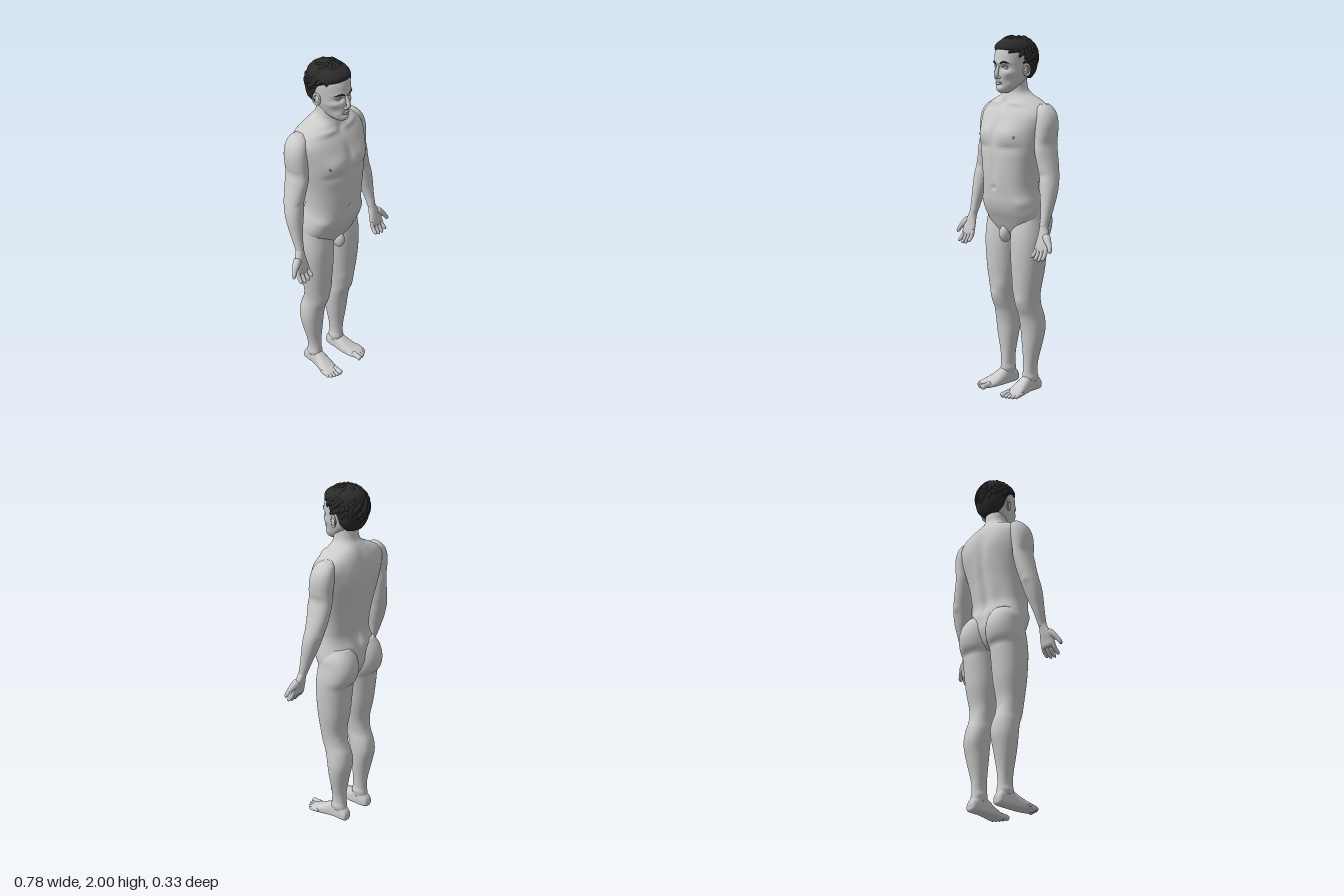
import * as THREE from 'three';
import { mergeVertices, mergeGeometries } from 'three/addons/utils/BufferGeometryUtils.js';

const skin = new THREE.MeshStandardMaterial({ color: 0xcccccc });
const dark = new THREE.MeshStandardMaterial({ color: 0x2b2b2b });
const areola = new THREE.MeshStandardMaterial({ color: 0x8a8a8a });

// Smooth interpolation of table rows
function sample(rows, t) {
  const n = rows.length - 1, i = Math.min(Math.floor(t * n), n - 1), f = t * n - i;
  const at = k => rows[Math.max(0, Math.min(n, k))];
  const [a, b, c, d] = [at(i - 1), at(i), at(i + 1), at(i + 2)];
  return b.map((_, k) => b[k] + 0.5 * f * (c[k] - a[k] + f * (2 * a[k] - 5 * b[k] + 4 * c[k] - d[k]
    + f * (3 * (b[k] - c[k]) + d[k] - a[k]))));
}

// Closed skin over rows of [y, xMin, xMax, zBack, zFront, zMid]
function loft(rows, { power = 2.15, sides = 48, steps = 5 } = {}) {
  rows = rows.map(r => r.length > 5 ? r : [...r, (r[3] + r[4]) / 2]);
  const count = (rows.length - 1) * steps, pos = [], idx = [];
  const bend = v => Math.sign(v) * Math.abs(v) ** (2 / power);
  for (let i = 0; i <= count; i++) {
    const [y, x0, x1, zb, zf, zm] = sample(rows, i / count);
    for (let j = 0; j < sides; j++) {
      const a = j / sides * Math.PI * 2, s = bend(Math.sin(a));
      pos.push((x0 + x1) / 2 + (x1 - x0) / 2 * bend(Math.cos(a)), y, zm + s * (s > 0 ? zf - zm : zm - zb));
      if (i === count) continue;
      const p = i * sides + j, q = i * sides + (j + 1) % sides;
      idx.push(p, p + sides, q, q, p + sides, q + sides);
    }
  }
  const last = count * sides, cap = (count + 1) * sides;
  for (const r of [rows[0], rows.at(-1)]) pos.push((r[1] + r[2]) / 2, r[0], r[5]);
  for (let j = 0; j < sides; j++) {
    const k = (j + 1) % sides;
    idx.push(cap, j, k, cap + 1, last + k, last + j);
  }
  const g = new THREE.BufferGeometry();
  g.setAttribute('position', new THREE.Float32BufferAttribute(pos, 3));
  g.setIndex(idx);
  g.computeVertexNormals();
  return g;
}

// Raise or sink soft spots: [x, y, z, radiusX, radiusY, amount], mirrored when x > 0
function sculpt(g, spots, mirrored = true) {
  const p = g.attributes.position, n = g.attributes.normal;
  const all = spots.flatMap(s => mirrored && s[0] > 0 ? [s, [-s[0], ...s.slice(1)]] : [s]);
  for (let i = 0; i < p.count; i++) {
    const [x, y, z] = [p.getX(i), p.getY(i), p.getZ(i)];
    let d = 0;
    for (const [sx, sy, sz, rx, ry, amt] of all)
      d += amt * Math.exp(-(((x - sx) / rx) ** 2) - ((y - sy) / ry) ** 2 - ((z - sz) / 0.07) ** 2);
    p.setXYZ(i, x + n.getX(i) * d, y + n.getY(i) * d, z + n.getZ(i) * d);
  }
  g.computeVertexNormals();
  return g;
}

// Tapered round-ended tube through points
function taper(points, radii, seg = 12, sides = 12) {
  const curve = new THREE.CatmullRomCurve3(points.map(p => new THREE.Vector3(...p)));
  let g = new THREE.TubeGeometry(curve, seg, 1, sides);
  const p = g.attributes.position, v = new THREE.Vector3();
  for (let i = 0; i <= seg; i++) {
    const t = i / seg, c = curve.getPointAt(t), e = Math.max(0, (Math.abs(t - 0.5) - 0.35) / 0.15);
    const r = sample(radii.map(k => [k]), t)[0] * Math.sqrt(Math.max(0.0001, 1 - e * e));
    for (let j = 0; j <= sides; j++) {
      const k = i * (sides + 1) + j;
      v.fromBufferAttribute(p, k).sub(c).multiplyScalar(r).add(c);
      p.setXYZ(k, v.x, v.y, v.z);
    }
  }
  g.deleteAttribute('uv');
  g.deleteAttribute('normal');
  g = mergeVertices(g, 1e-6);
  g.computeVertexNormals();
  return g;
}

const ball = (x, y, z, sx, sy, sz) => new THREE.SphereGeometry(1, 20, 14).scale(sx, sy, sz).translate(x, y, z);

function flip(g) {
  const a = g.index.array;
  for (let i = 0; i < a.length; i += 3) [a[i], a[i + 1]] = [a[i + 1], a[i]];
  g.computeVertexNormals();
  return g;
}

export function createModel() {
  const model = new THREE.Group();
  const add = (name, g, mat = skin) => {
    const m = new THREE.Mesh(g, mat);
    m.name = name;
    model.add(m);
  };
  const pair = (name, g, mat) => {
    add('left' + name, g, mat);
    add('right' + name, flip(g.clone().scale(-1, 1, 1)), mat);
  };
  const even = ([y, w, ...rest]) => [y, -w, w, ...rest];

  // Torso and neck
  const torso = loft([[0.9, 0.09, -0.08, 0.04, -0.02], [0.94, 0.15, -0.11, 0.065, -0.03],
    [1, 0.185, -0.13, 0.095, -0.03], [1.05, 0.19, -0.13, 0.12, -0.02], [1.1, 0.18, -0.125, 0.135, -0.01],
    [1.15, 0.172, -0.108, 0.14, 0], [1.2, 0.17, -0.105, 0.144, 0], [1.3, 0.18, -0.122, 0.146, 0],
    [1.4, 0.2, -0.142, 0.146, -0.01], [1.47, 0.214, -0.148, 0.14, -0.03], [1.53, 0.226, -0.148, 0.122, -0.04],
    [1.58, 0.228, -0.144, 0.1, -0.05], [1.62, 0.2, -0.135, 0.076, -0.055], [1.655, 0.14, -0.12, 0.058, -0.05],
    [1.68, 0.088, -0.105, 0.048, -0.04], [1.71, 0.067, -0.086, 0.042, -0.02], [1.76, 0.062, -0.078, 0.045, -0.015],
    [1.8, 0.06, -0.075, 0.045, -0.015]].map(even), { power: 2.3, sides: 96, steps: 6 });
  add('torso', sculpt(torso, [[0.09, 1.47, 0.13, 0.07, 0.05, 0.014], [0.1, 1.4, 0.13, 0.07, 0.016, -0.007],
    [0, 1.48, 0.13, 0.013, 0.07, -0.012], [0, 1.28, 0.145, 0.012, 0.09, -0.005], [0, 1.18, 0.145, 0.01, 0.012, -0.012],
    [0.05, 1.26, 0.14, 0.03, 0.08, 0.004], [0.15, 1.1, 0.07, 0.04, 0.03, 0.008], [0.09, 1.635, 0.06, 0.06, 0.012, 0.008],
    [0, 1.64, 0.06, 0.016, 0.02, -0.01], [0.1, 1.52, -0.13, 0.06, 0.08, 0.012], [0, 1.42, -0.14, 0.022, 0.17, -0.018],
    [0, 1.16, -0.11, 0.02, 0.1, -0.012], [0.055, 1.22, -0.11, 0.03, 0.1, 0.007]]));
  pair('Areola', ball(0.135, 1.462, 0.113, 0.009, 0.008, 0.012), areola);

  // Legs with buttocks
  const leg = loft([[0.06, 0.06, 0.128, -0.102, 0], [0.1, 0.06, 0.128, -0.094, -0.003], [0.15, 0.058, 0.13, -0.093, -0.006],
    [0.2, 0.053, 0.14, -0.097, -0.006], [0.3, 0.04, 0.163, -0.116, 0.002], [0.38, 0.034, 0.172, -0.13, 0.01],
    [0.45, 0.033, 0.168, -0.123, 0.025], [0.5, 0.036, 0.164, -0.106, 0.046], [0.55, 0.032, 0.168, -0.095, 0.055],
    [0.6, 0.026, 0.176, -0.092, 0.06], [0.7, 0.013, 0.192, -0.11, 0.07], [0.8, 0.006, 0.202, -0.12, 0.075],
    [0.88, 0.002, 0.206, -0.13, 0.075], [0.94, 0, 0.207, -0.158, 0.07], [1, 0.003, 0.204, -0.166, 0.06],
    [1.06, 0.01, 0.192, -0.15, 0.05], [1.11, 0.03, 0.16, -0.115, 0.03]], { sides: 56 });
  pair('Leg', sculpt(leg, [[0.1, 0.54, 0.055, 0.03, 0.03, 0.006], [0.06, 0.6, 0.05, 0.03, 0.04, 0.005],
    [0.1, 0.89, -0.13, 0.07, 0.014, -0.008], [0.2, 1, -0.05, 0.04, 0.05, -0.006], [0.06, 0.4, -0.12, 0.025, 0.06, 0.006],
    [0.1, 0.54, -0.09, 0.03, 0.03, -0.004], [0.06, 0.095, -0.05, 0.02, 0.015, 0.007], [0.13, 0.085, -0.05, 0.02, 0.015, 0.007]], false));
  // Plain rounded front of the pelvis
  add('pelvisFront', ball(0, 0.915, 0.055, 0.03, 0.05, 0.038));

  // Feet: rows run from heel to toes, then y and z trade places
  const foot = loft([[-0.117, 0.082, 0.112, 0.012, 0.04, 0.025], [-0.107, 0.066, 0.126, 0.002, 0.065, 0.025],
    [-0.07, 0.058, 0.13, 0, 0.1, 0.025], [-0.03, 0.058, 0.132, 0, 0.105, 0.025], [0, 0.056, 0.138, 0, 0.09, 0.02],
    [0.04, 0.056, 0.15, 0, 0.066, 0.02], [0.08, 0.06, 0.163, 0, 0.046, 0.018], [0.11, 0.068, 0.164, 0, 0.036, 0.016],
    [0.13, 0.078, 0.145, 0.004, 0.028, 0.016]], { power: 2.4 });
  const fp = foot.attributes.position;
  for (let i = 0; i < fp.count; i++) fp.setXYZ(i, fp.getX(i), fp.getZ(i), fp.getY(i));
  pair('Foot', flip(foot));
  [[0.086, 0.165, 0.017], [0.11, 0.16, 0.012], [0.128, 0.152, 0.011], [0.144, 0.142, 0.011], [0.157, 0.128, 0.01]]
    .forEach(([x, z, r], i) => pair('Toe' + (i + 1),
      taper([[x, 0.024, z - 0.07], [x, 0.022, z - 0.03], [x, r, z]], [r, r * 0.85, r])));

  // Arms
  const arm = loft([[0.98, 0.272, 0.314, 0.02, 0.065], [1, 0.268, 0.313, 0.012, 0.062], [1.05, 0.262, 0.316, -0.01, 0.052],
    [1.1, 0.25, 0.32, -0.03, 0.045], [1.15, 0.235, 0.323, -0.05, 0.04], [1.2, 0.222, 0.322, -0.066, 0.035],
    [1.25, 0.212, 0.313, -0.08, 0.03], [1.3, 0.2, 0.3, -0.092, 0.03], [1.4, 0.182, 0.274, -0.105, 0.032],
    [1.47, 0.175, 0.275, -0.108, 0.032], [1.53, 0.165, 0.277, -0.112, 0.028], [1.58, 0.16, 0.265, -0.11, 0.018],
    [1.615, 0.16, 0.24, -0.1, 0], [1.635, 0.17, 0.215, -0.08, -0.03]]);
  pair('Arm', sculpt(arm, [[0.23, 1.38, 0.03, 0.04, 0.05, 0.007], [0.27, 1.24, -0.08, 0.02, 0.02, 0.006],
    [0.265, 1.43, -0.03, 0.03, 0.025, -0.006], [0.26, 1.26, 0.03, 0.03, 0.02, -0.005]], false));

  // Hands
  pair('Palm', loft([[0.862, 0.266, 0.338, 0.06, 0.084], [0.875, 0.26, 0.347, 0.05, 0.085], [0.9, 0.258, 0.35, 0.044, 0.082],
    [0.93, 0.262, 0.346, 0.034, 0.076], [0.96, 0.268, 0.328, 0.026, 0.07], [1, 0.272, 0.31, 0.015, 0.062]]));
  [[0.336, 0.346, 0.822], [0.313, 0.318, 0.812], [0.291, 0.291, 0.814], [0.27, 0.264, 0.828]].forEach(([x, tip, y], i) =>
    pair('Finger' + (i + 1), taper([[x, 0.9, 0.063], [(x + tip) / 2, 0.856, 0.078], [tip, y, 0.108]], [0.0125, 0.0115, 0.0095])));
  pair('Thumb', taper([[0.315, 0.955, 0.05], [0.35, 0.92, 0.065], [0.372, 0.895, 0.075], [0.386, 0.865, 0.085]],
    [0.022, 0.02, 0.013, 0.011]));

  // Head
  const head = loft([[1.69, 0.018, 0.045, 0.085, 0.065], [1.702, 0.038, 0.01, 0.1, 0.05], [1.73, 0.06, -0.03, 0.105, 0.02],
    [1.77, 0.077, -0.07, 0.107, -0.01], [1.81, 0.086, -0.1, 0.107, -0.02], [1.85, 0.09, -0.11, 0.108, -0.02],
    [1.9, 0.092, -0.115, 0.102, -0.02], [1.94, 0.082, -0.11, 0.085, -0.02], [1.97, 0.055, -0.08, 0.05, -0.02]].map(even),
    { sides: 96, steps: 8 });
  add('head', sculpt(head, [[0.036, 1.826, 0.1, 0.02, 0.014, -0.016], [0.036, 1.852, 0.1, 0.025, 0.01, 0.005],
    [0.058, 1.797, 0.08, 0.02, 0.016, 0.006], [0.05, 1.755, 0.08, 0.018, 0.02, -0.005],
    [0, 1.713, 0.1, 0.022, 0.014, 0.006], [0, 1.732, 0.105, 0.025, 0.007, -0.005]]));
  add('nose', mergeGeometries([taper([[0, 1.85, 0.098], [0, 1.815, 0.112], [0, 1.785, 0.12], [0, 1.768, 0.108]],
    [0.009, 0.009, 0.012, 0.012])]));
  pair('Nostril', ball(0.011, 1.773, 0.11, 0.008, 0.008, 0.011));
  for (const [name, y, r] of [['upperLip', 1.749, 0.005], ['lowerLip', 1.741, 0.006]])
    add(name, taper([[-0.026, 1.745, 0.098], [-0.01, y, 0.107], [0.01, y, 0.107], [0.026, 1.745, 0.098]], [0.002, r, r, 0.002]));
  pair('Eye', ball(0.036, 1.826, 0.079, 0.015, 0.011, 0.013));
  pair('UpperEyelid', taper([[0.018, 1.826, 0.09], [0.036, 1.838, 0.093], [0.054, 1.826, 0.08]], [0.003, 0.004, 0.003]));
  pair('Eyebrow', taper([[0.013, 1.846, 0.108], [0.036, 1.856, 0.103], [0.062, 1.848, 0.08]], [0.004, 0.005, 0.002]), dark);
  pair('Ear', mergeGeometries([ball(0.09, 1.81, -0.012, 0.01, 0.027, 0.016),
    new THREE.TorusGeometry(0.019, 0.005, 8, 24).scale(1, 1.5, 1).rotateY(1.2).translate(0.096, 1.813, -0.014)]));

  // Hair: a cap under locks that swirl out from the crown
  add('hairCap', loft([[1.765, 0.055, -0.105, -0.04], [1.8, 0.086, -0.126, -0.012], [1.85, 0.099, -0.138, 0.01],
    [1.89, 0.102, -0.14, 0.045], [1.92, 0.102, -0.138, 0.094], [1.95, 0.092, -0.126, 0.09], [1.975, 0.065, -0.1, 0.05],
    [1.988, 0.025, -0.06, 0.01]].map(even)), dark);
  const locks = [];
  for (let i = 0; i < 150; i++) {
    const phi = i * 2.39996, limit = 1.25 + 1.05 * (1 - Math.sin(phi)) / 2, wob = Math.sin(i * 12.9);
    const start = Math.sqrt((i + 0.5) / 150) * (limit - 0.45), pts = [];
    for (let k = 0; k < 4; k++) {
      const th = start + k * 0.15, ph = phi + k * (0.13 + 0.1 * wob), lift = [0.96, 1, 1.01, 0.99 + 0.03 * wob][k];
      pts.push([0.104 * lift * Math.sin(th) * Math.cos(ph), 1.88 + 0.107 * lift * Math.cos(th),
        -0.025 + 0.117 * lift * Math.sin(th) * Math.sin(ph)]);
    }
    locks.push(taper(pts, [0.008, 0.013, 0.011, 0.003], 10, 6));
  }
  add('hairLocks', mergeGeometries(locks), dark);
  return model;
}
